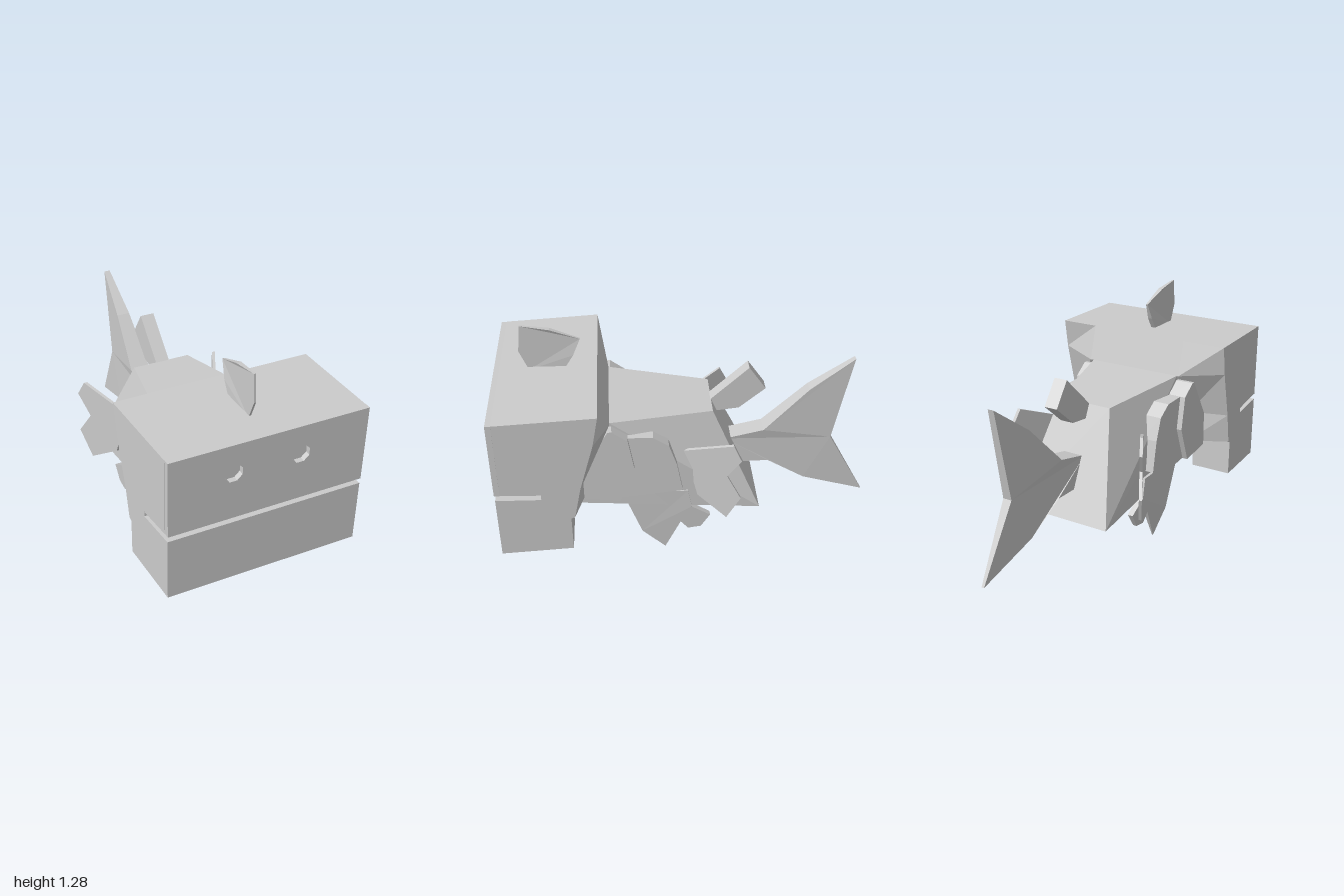
import * as THREE from 'three';
import { ConvexGeometry } from 'three/addons/geometries/ConvexGeometry.js';

const material = new THREE.MeshStandardMaterial({ color: 0xcccccc, flatShading: true, side: THREE.DoubleSide });
const CX = -0.03; // the body sits slightly off centre behind the head

function part(name, geometry, parent) {
  const mesh = new THREE.Mesh(geometry, material);
  mesh.name = name;
  parent.add(mesh);
  return mesh;
}

// Flat plate from a [z, y] outline, centred on x = 0
function plate(points, thickness) {
  const shape = new THREE.Shape(points.map(([z, y]) => new THREE.Vector2(z, y)));
  const geo = new THREE.ExtrudeGeometry(shape, { depth: thickness, bevelEnabled: false });
  return geo.translate(0, 0, -thickness / 2).rotateY(-Math.PI / 2);
}

// Change the x of every vertex by a rule
function bendX(geo, rule) {
  const p = geo.attributes.position;
  for (let i = 0; i < p.count; i++) p.setX(i, rule(p.getX(i), p.getY(i), p.getZ(i)));
  geo.computeVertexNormals();
  return geo;
}

// Skin over [z, y] sections placed at rising x, closed at both ends
function loftX(sections) {
  const n = sections[0].points.length;
  const pos = [], index = [];
  for (const { x, points } of sections) for (const [z, y] of points) pos.push(x(z), y, z);
  for (let i = 0; i < sections.length - 1; i++) {
    for (let j = 0; j < n; j++) {
      const a = i * n + j, b = i * n + (j + 1) % n;
      index.push(a, a + n, b + n, a, b + n, b);
    }
  }
  const cap = (s, offset, flip) => {
    const outline = sections[s].points.map(([z, y]) => new THREE.Vector2(z, y));
    for (const [a, b, c] of THREE.ShapeUtils.triangulateShape(outline, [])) {
      index.push(offset + a, offset + (flip ? c : b), offset + (flip ? b : c));
    }
  };
  cap(0, 0, false);
  cap(sections.length - 1, (sections.length - 1) * n, true);
  const geo = new THREE.BufferGeometry();
  geo.setAttribute('position', new THREE.Float32BufferAttribute(pos, 3));
  geo.setIndex(index);
  const flat = geo.toNonIndexed();
  flat.computeVertexNormals();
  return flat;
}

const leftSide = (z) => 0.53 - 0.047 * (1 - z);
const rightSide = (z) => -0.495 - 0.075 * (1 - z);

function buildHead(parent) {
  const head = new THREE.Group();
  head.name = 'head';
  parent.add(head);

  // Front, mouth slit and top are shared; only the back of the outline changes
  const front = [[0.995, 0.255], [0.995, 0.6], [0.77, 0.585], [0.77, 0.613], [0.97, 0.63], [0.97, 1.045], [0.47, 1.05]];
  const neck = [[0.42, 0.86], [0.56, 0.61], [0.56, 0.43]];
  const outer = [...front, [0.5, 0.89], [0.575, 0.63], [0.61, 0.46], [0.63, 0.45], [0.63, 0.255]];
  const arm = [...front, ...neck, [0.63, 0.43], [0.63, 0.255]];
  const hollow = [...front, ...neck, [0.87, 0.39], [0.87, 0.255]];
  part('skullAndJaw', loftX([
    { x: rightSide, points: outer },
    { x: () => -0.29, points: arm },
    { x: () => -0.29, points: hollow },
    { x: () => 0.29, points: hollow },
    { x: () => 0.29, points: arm },
    { x: leftSide, points: outer },
  ]), head);

  // Face plate with eight-sided eye sockets
  const face = new THREE.Shape([[-0.495, 0.63], [0.53, 0.63], [0.53, 1.045], [-0.495, 1.045]]
    .map(([x, y]) => new THREE.Vector2(x, y)));
  for (const ex of [-0.172, 0.175]) {
    const ring = [];
    for (let i = 0; i < 8; i++) {
      const a = -(i + 0.5) * Math.PI / 4;
      ring.push(new THREE.Vector2(ex + 0.05 * Math.cos(a), 0.89 + 0.05 * Math.sin(a)));
    }
    face.holes.push(new THREE.Path(ring));
  }
  const faceGeo = new THREE.ExtrudeGeometry(face, { depth: 0.028, bevelEnabled: false });
  part('facePlate', faceGeo.translate(0, 0, 0.97), head);
}

export function createModel() {
  const fish = new THREE.Group();
  fish.name = 'fish';
  buildHead(fish);

  // Tapered body with a sloping back end
  const v = (x, y, z) => new THREE.Vector3(x, y, z);
  part('body', new ConvexGeometry([
    v(-0.29, 0.386, 0.75), v(0.29, 0.386, 0.75), v(-0.28, 0.885, 0.75), v(0.28, 0.885, 0.75),
    v(-0.28, 0.86, 0.42), v(0.27, 0.86, 0.42),
    v(-0.185, 0.815, -0.12), v(0.13, 0.815, -0.12),
    v(-0.325, 0.25, -0.37), v(0.24, 0.25, -0.37),
  ]), fish);

  // Fins on the centre line
  const crest = plate([[0.82, 1.03], [0.865, 1.14], [0.85, 1.285], [0.7, 1.26], [0.55, 1.2], [0.59, 1.11], [0.64, 1.03]], 0.026);
  bendX(crest, (x, y, z) => x * (z > 0.8 || z < 0.58 ? 0.4 : 1) - 0.004);
  part('crestFin', crest, fish);
  part('backFin', plate([[-0.1, 0.8], [-0.32, 1.0], [-0.41, 0.87], [-0.27, 0.755], [-0.13, 0.74]], 0.075), fish).position.x = -0.02;

  // Tail, thick at the root and thin at the tips
  const tail = plate([[-0.2, 0.56], [-0.41, 0.605], [-0.65, 0.84], [-0.89, 1.01], [-0.79, 0.52],
    [-1.0, 0.135], [-0.65, 0.26], [-0.44, 0.4], [-0.2, 0.4]], 0.11);
  bendX(tail, (x, y, z) => CX + x * THREE.MathUtils.clamp(THREE.MathUtils.mapLinear(z, -0.42, -1, 1, 0.14), 0.14, 1));
  part('tail', tail, fish);

  // Paired gill covers and fins
  const cheekShape = [[0.43, 0.84], [0.57, 0.61], [0.57, 0.43], [0.38, 0.4], [0.3, 0.6], [0.33, 0.78], [0.41, 0.84]];
  const gillShape = [[0.34, 0.78], [0.2, 0.775], [0.12, 0.72], [0.08, 0.6], [0.05, 0.43], [0.38, 0.4], [0.3, 0.6]];
  const sideFinShape = [[0.07, 0.63], [0.01, 0.53], [-0.03, 0.37], [-0.18, 0.26], [-0.25, 0.41],
    [-0.18, 0.535], [-0.25, 0.65], [-0.21, 0.735]];
  const bellyFinShape = [[0.37, 0.41], [0.27, 0.13], [0.145, 0.005], [0.06, 0.185], [0.02, 0.135],
    [-0.05, 0.145], [-0.1, 0.225], [0, 0.29], [0.02, 0.4]];
  for (const [side, s] of [['left', 1], ['right', -1]]) {
    part(side + 'Cheek', plate(cheekShape, 0.1), fish).position.x = CX + s * 0.305;
    part(side + 'GillCover', plate(gillShape, 0.09), fish).position.x = CX + s * 0.28;

    const spread = s > 0 ? 0.45 : 0.58;
    part(side + 'SideFin', bendX(plate(sideFinShape, 0.018),
      (x, y, z) => x + CX + s * (0.24 + spread * (0.07 - z))), fish);

    part(side + 'BellyFin', bendX(plate(bellyFinShape, 0.036),
      (x, y) => x * Math.min(1, 0.15 + y * 3) + CX + s * 0.277), fish);
  }
  return fish;
}
